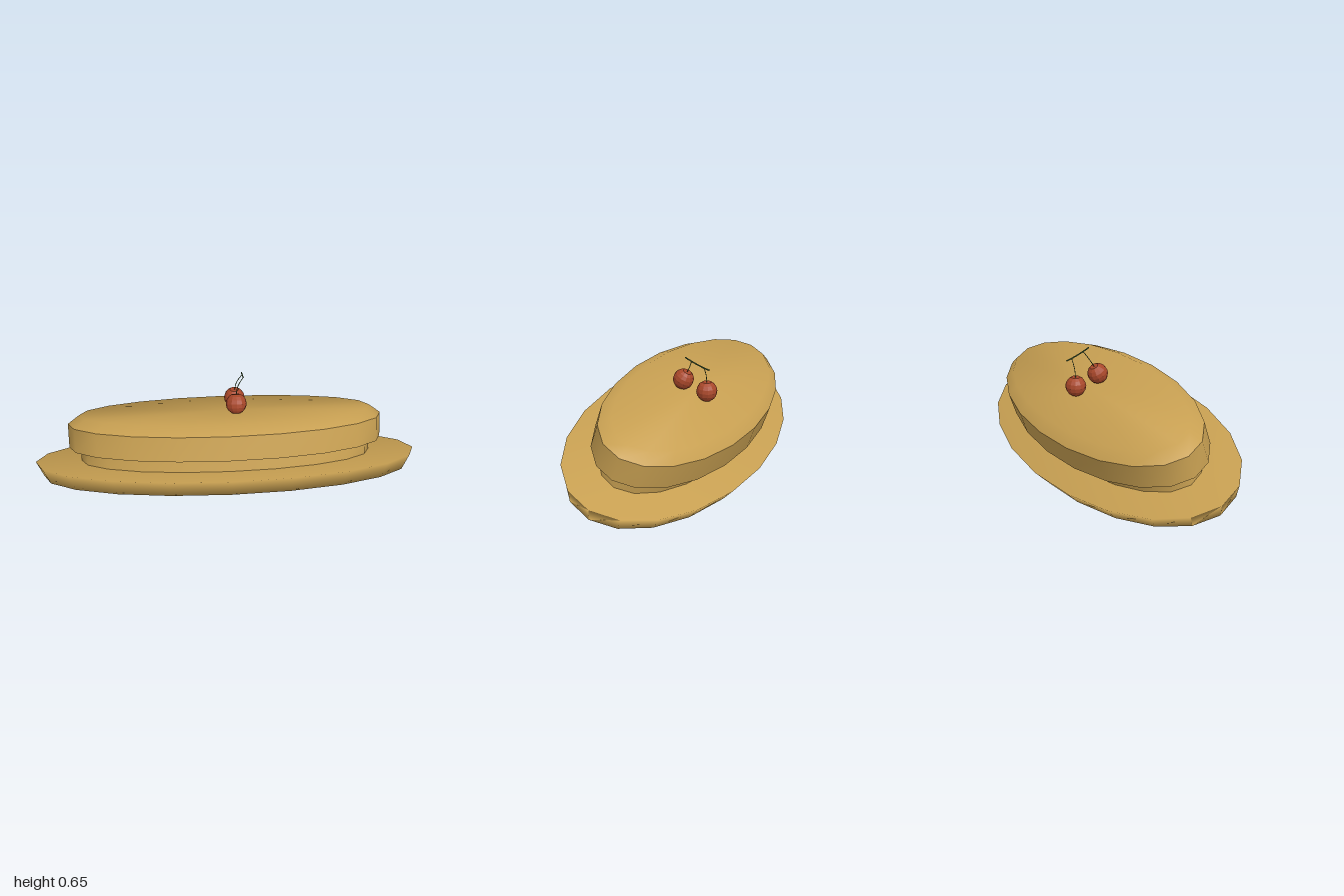
import * as THREE from 'three';
import { mergeVertices, toCreasedNormals } from 'three/addons/utils/BufferGeometryUtils.js';

const SIDES = 20;

// Closed oval solid through rings of [y, half width, half depth], bottom to top
function ovalSolid(rings, smooth) {
  const n = rings.length - 1;
  let geo = new THREE.CylinderGeometry(1, 1, 1, SIDES, n);
  const p = geo.attributes.position;
  for (let i = 0; i < p.count; i++) {
    const [y, w, d] = rings[Math.round((p.getY(i) + 0.5) * n)];
    p.setXYZ(i, p.getX(i) * w, y, p.getZ(i) * d);
  }
  geo.deleteAttribute('normal');
  geo.deleteAttribute('uv');
  if (!smooth) return toCreasedNormals(geo, 0.79);
  geo = mergeVertices(geo, 1e-4);
  geo.computeVertexNormals();
  return geo;
}

export function createModel() {
  const model = new THREE.Group();
  model.name = 'strawHat';

  const makeMat = (name, color) => {
    const m = new THREE.MeshStandardMaterial({ color });
    m.name = name;
    return m;
  };
  const straw = makeMat('straw', 0xc8a052);
  const red = makeMat('cherryRed', 0xa8472a);
  const green = makeMat('stemGreen', 0x40602a);

  const add = (parent, name, geo, mat) => {
    const mesh = new THREE.Mesh(geo, mat);
    mesh.name = name;
    parent.add(mesh);
    return mesh;
  };

  // Hat body, tipped with its front edge raised
  const hat = new THREE.Group();
  hat.name = 'hat';
  const tilt = 0.325;
  hat.rotation.x = -tilt;
  hat.position.set(0, 0.068 * Math.sin(tilt), 0.068 * Math.cos(tilt));
  model.add(hat);

  add(hat, 'brim', ovalSolid([[0.122, 0.96, 0.422], [0.201, 1, 0.461]], true), straw);
  add(hat, 'crownBase', ovalSolid([[0.2, 0.76, 0.296], [0.276, 0.76, 0.296]]), straw);
  add(hat, 'crown', ovalSolid([
    [0.275, 0.82, 0.358], [0.401, 0.82, 0.358], [0.445, 0.76, 0.298],
  ]), straw);

  // Cherries: faceted balls with flattened poles
  const profile = [new THREE.Vector2(0, -0.049)];
  for (let i = 0; i <= 6; i++) {
    const a = THREE.MathUtils.degToRad(-65 + (130 * i) / 6);
    profile.push(new THREE.Vector2(Math.cos(a) * 0.054, Math.sin(a) * 0.054));
  }
  profile.push(new THREE.Vector2(0, 0.047));
  const cherryGeo = toCreasedNormals(new THREE.LatheGeometry(profile, 12), 0.2);

  // Each entry: centre, lean, stem path
  const cherries = [
    { at: [0.055, 0.512, -0.027], lean: -0.48,
      stem: [[0.055, 0.55, -0.046], [0.067, 0.592, -0.069], [0.095, 0.631, -0.09]] },
    { at: [0.055, 0.468, -0.158], lean: 0,
      stem: [[0.055, 0.51, -0.158], [0.067, 0.562, -0.158], [0.095, 0.606, -0.158]] },
  ];
  const tube = (pts, r) => new THREE.TubeGeometry(
    new THREE.CatmullRomCurve3(pts.map((q) => new THREE.Vector3(...q))), 8, r, 6);

  for (const c of cherries) {
    const ball = add(model, 'cherry', cherryGeo, red);
    ball.position.set(...c.at);
    ball.rotation.x = c.lean;
    add(model, 'cherryStem', tube(c.stem, 0.002), green);
  }

  // Twig joining both stems
  add(model, 'twig', tube([
    [0.095, 0.647, -0.056], [0.095, 0.631, -0.09], [0.095, 0.606, -0.158], [0.095, 0.598, -0.19],
  ], 0.0035), green);

  return model;
}
